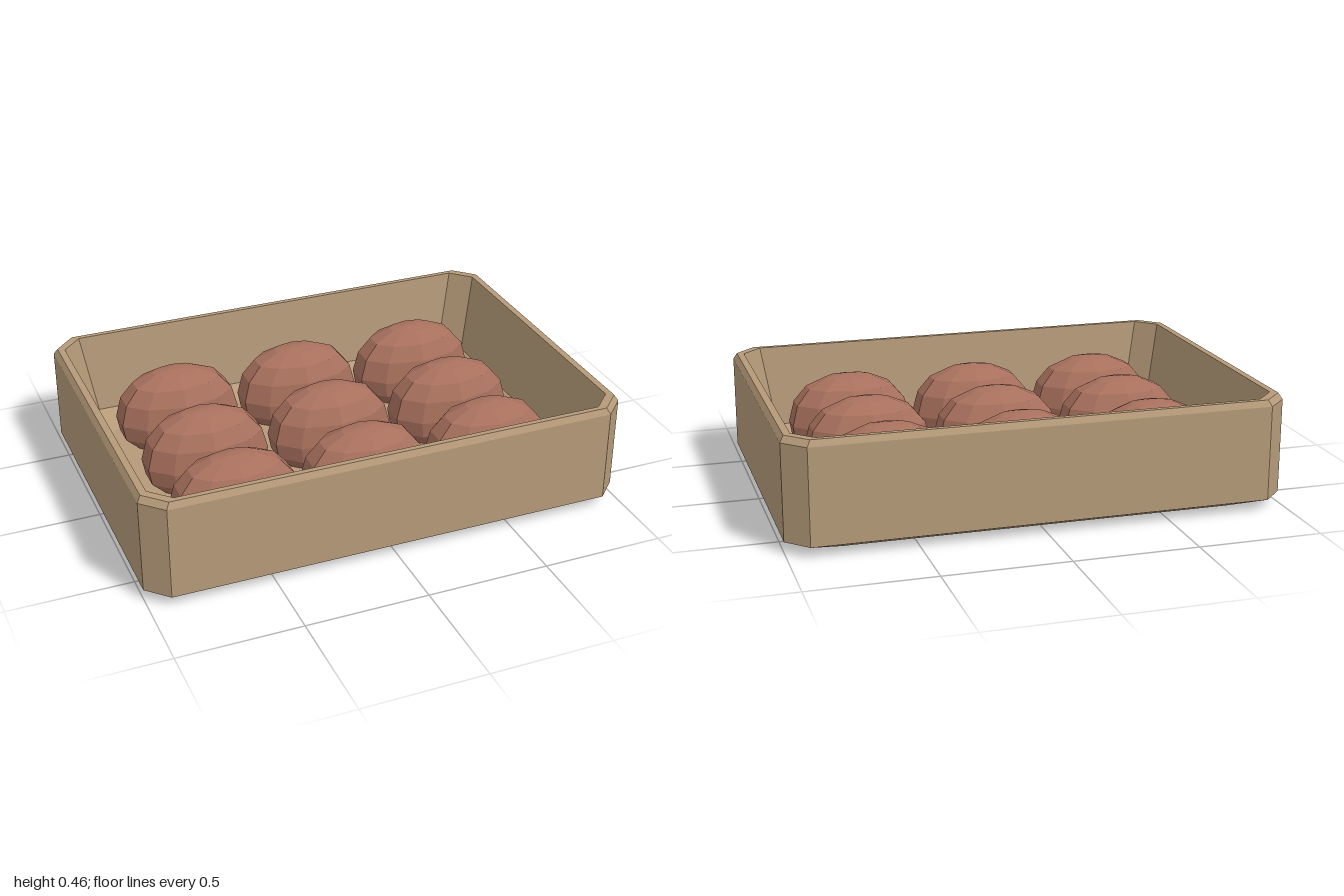
import * as THREE from 'three';

// Skins a stack of matching rings (each a list of Vector3) and closes both ends.
function loft(rings) {
  const centre = ring => {
    const c = new THREE.Vector3();
    ring.forEach(p => c.add(p));
    return c.divideScalar(ring.length);
  };
  const n = rings[0].length, pos = [];
  const tri = (...pts) => pts.forEach(p => pos.push(p.x, p.y, p.z));
  const first = rings[0], last = rings[rings.length - 1];
  const c0 = centre(first), c1 = centre(last);
  for (let i = 0; i < n; i++) {
    const j = (i + 1) % n;
    tri(c0, first[i], first[j]);
    for (let k = 0; k < rings.length - 1; k++) {
      const lo = rings[k], hi = rings[k + 1];
      tri(lo[i], hi[i], hi[j]);
      tri(lo[i], hi[j], lo[j]);
    }
    tri(c1, last[j], last[i]);
  }
  const g = new THREE.BufferGeometry();
  g.setAttribute('position', new THREE.Float32BufferAttribute(pos, 3));
  g.computeVertexNormals();
  return g;
}

// Rectangle with cut corners, half sizes w and d, corner cut c, at height y.
function cutRect(w, d, c, y) {
  return [[w, -d + c], [w, d - c], [w - c, d], [-w + c, d],
    [-w, d - c], [-w, -d + c], [-w + c, -d], [w - c, -d]]
    .map(([x, z]) => new THREE.Vector3(x, y, z));
}

// Oval ten-sided outline of a loaf, scaled by s, at height y.
function loafRing(s, y) {
  return [[0.255, -0.05], [0.255, 0.05], [0.17, 0.125], [0, 0.16], [-0.17, 0.125],
    [-0.255, 0.05], [-0.255, -0.05], [-0.17, -0.125], [0, -0.16], [0.17, -0.125]]
    .map(([x, z]) => new THREE.Vector3(x * s, y, z * s));
}

export function createModel() {
  const model = new THREE.Group();
  const trayMat = new THREE.MeshStandardMaterial({ color: 0xb59a78, flatShading: true });
  trayMat.name = 'tan tray';
  const loafMat = new THREE.MeshStandardMaterial({ color: 0xa8705d, flatShading: true });
  loafMat.name = 'brown crust';

  // Tray: outside from the base up, over the rim, then down the inside to the floor
  const tray = new THREE.Mesh(loft([
    cutRect(0.86, 0.61, 0.08, 0),
    cutRect(1, 0.71, 0.085, 0.045),
    cutRect(1, 0.71, 0.085, 0.43),
    cutRect(0.985, 0.697, 0.083, 0.455),
    cutRect(0.957, 0.675, 0.08, 0.455),
    cutRect(0.9, 0.645, 0.08, 0.11),
    cutRect(0.82, 0.57, 0.08, 0.06),
  ]), trayMat);
  tray.name = 'tray';
  model.add(tray);

  // Nine loaves in a three by three grid
  const loafGeo = loft([
    loafRing(0.72, 0.061), loafRing(0.95, 0.12), loafRing(1, 0.19),
    loafRing(0.91, 0.28), loafRing(0.7, 0.345), loafRing(0.36, 0.385), loafRing(0.1, 0.395),
  ]);
  for (const z of [-0.375, 0.003, 0.372]) {
    for (const x of [-0.545, 0, 0.545]) {
      const loaf = new THREE.Mesh(loafGeo, loafMat);
      loaf.name = 'loaf';
      loaf.position.set(x, 0, z);
      model.add(loaf);
    }
  }
  return model;
}
